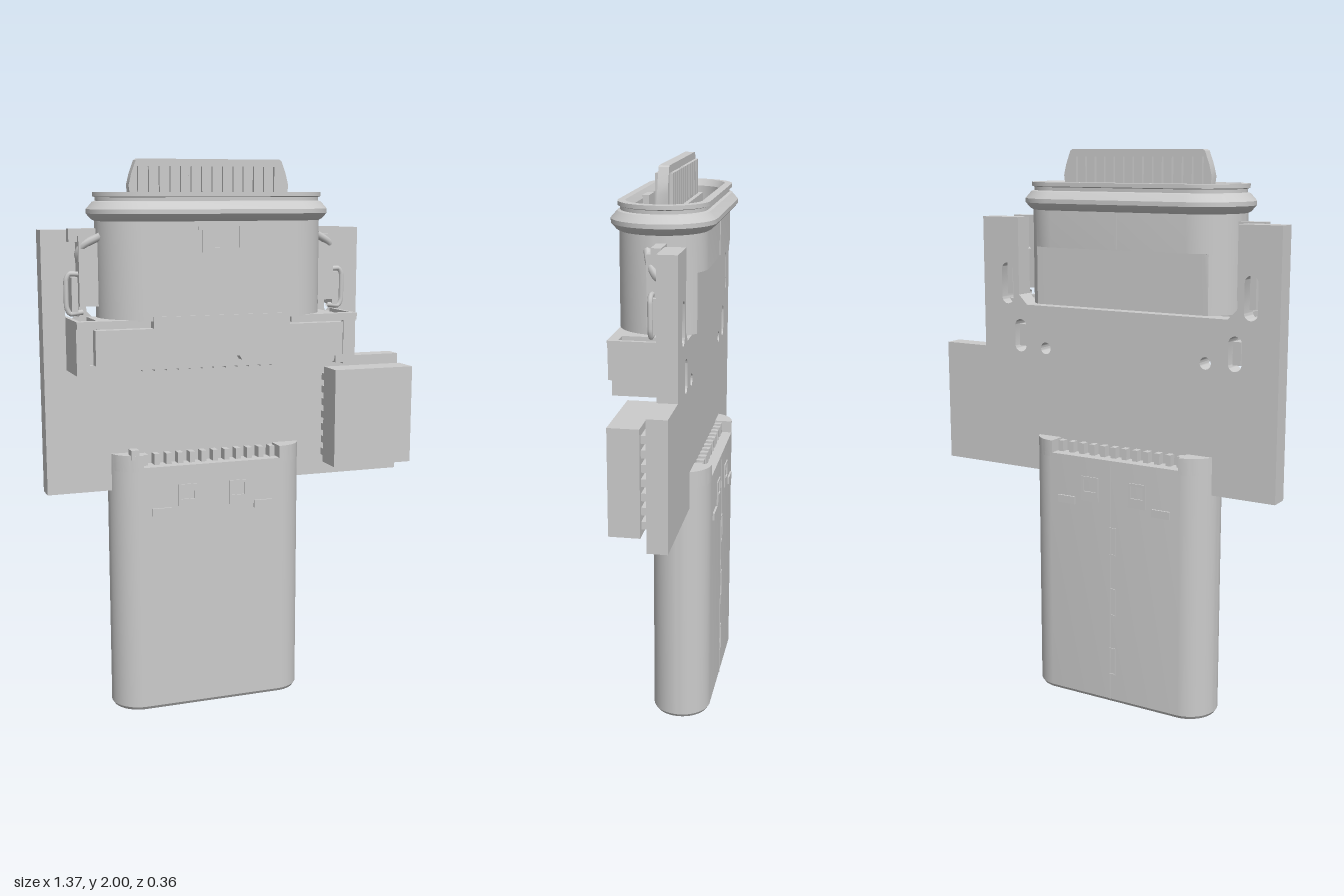
import * as THREE from 'three';
import { toCreasedNormals } from 'three/addons/utils/BufferGeometryUtils.js';

const grey = new THREE.MeshStandardMaterial({ color: 0xcccccc, side: THREE.DoubleSide });
const CX = -0.095; // centre line shared by both connectors

function add(parent, name, geo) {
  const m = new THREE.Mesh(geo, grey);
  m.name = name;
  parent.add(m);
  return m;
}

// Box given by its limits
function box(parent, name, x0, x1, y0, y1, z0, z1) {
  const g = new THREE.BoxGeometry(Math.abs(x1 - x0), y1 - y0, z1 - z0);
  g.translate((x0 + x1) / 2, (y0 + y1) / 2, (z0 + z1) / 2);
  return add(parent, name, g);
}

function polygon(points) {
  return new THREE.Shape(points.map(([x, y]) => new THREE.Vector2(x, y)));
}

function plate(parent, name, shape, z0, z1) {
  const g = new THREE.ExtrudeGeometry(shape, { depth: z1 - z0, bevelEnabled: false, curveSegments: 12 });
  g.translate(0, 0, z0);
  return add(parent, name, toCreasedNormals(g, 0.5));
}

// Lathe profile [radius, y] stretched along x into a racetrack section
function racetrack(profile, half, rule) {
  const n = 48;
  const g = new THREE.LatheGeometry(profile.map(([r, y]) => new THREE.Vector2(r, y)), n, Math.PI / n);
  const p = g.attributes.position;
  for (let i = 0; i < p.count; i++) {
    const phi = Math.PI / n + Math.floor(i / profile.length) * 2 * Math.PI / n;
    p.setX(i, p.getX(i) + Math.sign(Math.sin(phi)) * half);
    if (rule) rule(p, i);
  }
  return toCreasedNormals(g, 0.5);
}

function slotPath(x, y, w, h) {
  const r = w / 2, k = h / 2 - r, p = new THREE.Path();
  p.absarc(x, y + k, r, 0, Math.PI);
  p.absarc(x, y - k, r, Math.PI, 2 * Math.PI);
  p.closePath();
  return p;
}

function frameShape(x0, x1, y0, y1, t) {
  const s = polygon([[x0, y0], [x1, y0], [x1, y1], [x0, y1]]);
  s.holes.push(polygon([[x0 + t, y0 + t], [x0 + t, y1 - t], [x1 - t, y1 - t], [x1 - t, y0 + t]]));
  return s;
}

function makeBoard() {
  const g = new THREE.Group();
  g.name = 'circuitBoard';
  const s = polygon([[-0.69, 0.83], [0.68, 0.83], [0.68, 1.28], [0.5, 1.28], [0.5, 1.76], [0.345, 1.76],
    [0.345, 1.48], [0.31, 1.445], [-0.5, 1.445], [-0.535, 1.48], [-0.535, 1.76], [-0.69, 1.76]]);
  for (const d of [-1, 1]) {
    s.holes.push(slotPath(CX + d * 0.49, 1.52, 0.05, 0.15));
    s.holes.push(slotPath(CX + d * 0.435, 1.33, 0.05, 0.12));
    s.holes.push(slotPath(CX + d * 0.325, 1.29, 0.042, 0.043));
  }
  plate(g, 'boardPanel', s, -0.105, -0.035);

  // Side component standing on small pads
  box(g, 'componentBlock', 0.365, 0.68, 0.88, 1.245, -0.015, 0.09);
  for (let i = 0; i < 7; i++) {
    const y = 0.905 + i * 0.048;
    box(g, 'componentPad', 0.58, 0.66, y, y + 0.026, -0.036, -0.014);
    box(g, 'componentPad', 0.365, 0.43, y, y + 0.026, -0.036, -0.014);
  }
  return g;
}

function makePlug() {
  const g = new THREE.Group();
  g.name = 'plug';
  g.position.set(CX, 0, -0.065);
  const half = 0.26, R = 0.105;
  add(g, 'plugShell', racetrack([[0, 0.55], [0.07, 0.55], [0.07, 0.03], [0.078, 0.02], [0.083, 0], [0.097, 0],
    [R, 0.012], [R, 0.92], [0, 0.92]], half));
  // Raised rounded ends straddling the board
  for (const d of [-1, 1]) {
    const s = new THREE.Shape();
    s.absarc(0, 0, R, -Math.PI / 2, Math.PI / 2);
    const e = new THREE.ExtrudeGeometry(s, { depth: 0.06, bevelEnabled: false, curveSegments: 16 });
    e.rotateX(-Math.PI / 2);
    if (d < 0) e.rotateY(Math.PI);
    e.translate(d * half, 0.905, 0);
    add(g, 'plugEnd', toCreasedNormals(e, 0.5));
  }
  box(g, 'endTab', -0.305, -0.275, 0.95, 0.985, 0.06, 0.1);
  for (const side of [-1, 1]) {
    const at = (a, b) => side > 0 ? [a, b] : [-b, -a];
    // Solder pins on both faces of the board
    for (let i = 0; i < 12; i++) {
      const x = (i - 5.5) * 0.0445;
      box(g, 'solderPin', x - 0.01, x + 0.01, 0.9, 0.96, ...at(0.03, 0.068));
    }
    // Latch windows and embossed bars
    for (const d of [-1, 1]) {
      const x = d * 0.097;
      plate(g, 'latchWindow', frameShape(x - 0.035, x + 0.035, 0.76, 0.85, 0.01), ...at(0.1, 0.109));
      box(g, 'latchTongue', x - 0.028, x + 0.028, 0.77, 0.795, ...at(0.1, 0.11));
      box(g, 'embossedBar', d * 0.195 - 0.036, d * 0.195 + 0.036, 0.74, 0.768, ...at(0.1, 0.112));
    }
    // Spring contacts inside the mouth
    for (const x of [-0.17, 0, 0.17]) box(g, 'springContact', x - 0.025, x + 0.025, 0.03, 0.3, ...at(0.05, 0.075));
  }
  // Folded seam on the back with interlocking tabs
  box(g, 'seam', 0.012, 0.016, 0.01, 0.9, -0.107, -0.1);
  for (const y of [0.16, 0.39, 0.62]) {
    box(g, 'seamTab', -0.012, -0.008, y - 0.05, y + 0.05, -0.108, -0.1);
    for (const d of [-1, 1]) box(g, 'seamTab', -0.012, 0.016, y + d * 0.05 - 0.003, y + d * 0.05 + 0.003, -0.108, -0.1);
  }
  return g;
}

function makeReceptacle() {
  const g = new THREE.Group();
  g.name = 'receptacle';
  g.position.x = CX;
  // Racetrack body with sealing lip and open mouth, flattened low at the back
  add(g, 'receptacleShell', racetrack([[0, 1.455], [0.152, 1.455], [0.152, 1.66], [0.152, 1.661], [0.152, 1.79],
    [0.162, 1.795], [0.18, 1.815], [0.18, 1.83], [0.158, 1.855], [0.148, 1.858], [0.148, 1.87], [0.157, 1.873],
    [0.157, 1.887], [0.13, 1.888], [0.116, 1.865], [0.116, 1.5], [0, 1.5]], 0.258, (p, i) => {
    const y = p.getY(i);
    if (y < 1.6605) p.setZ(i, Math.max(p.getZ(i), -0.127));
  }));
  box(g, 'mouthKey', -0.045, 0.045, 1.7, 1.875, 0.095, 0.12);

  // Central tongue with contact ribs
  box(g, 'tongueBase', -0.29, 0.29, 1.49, 1.85, -0.045, 0.045);
  plate(g, 'tongue', polygon([[-0.28, 1.8], [0.28, 1.8], [0.295, 1.91], [0.285, 1.95], [0.268, 1.995],
    [0.26, 2], [-0.26, 2], [-0.268, 1.995], [-0.285, 1.95], [-0.295, 1.91]]), -0.018, 0.018);
  for (let i = 0; i < 14; i++) {
    const x = (i - 6.5) * 0.0385;
    box(g, 'tongueContact', x - 0.014, x + 0.014, 1.8, 1.975, -0.03, 0.03);
  }

  // Latch outline on the front, seams on the back
  box(g, 'latchBase', -0.075, 0.075, 1.685, 1.7, 0.148, 0.157);
  for (const d of [-1, 1]) {
    box(g, 'latchSide', d * 0.075, d * 0.06, 1.685, 1.77, 0.148, 0.157);
    box(g, 'latchShoulder', d * 0.09, d * 0.06, 1.76, 1.772, 0.148, 0.157);
  }
  box(g, 'backSeam', -0.003, 0.003, 1.665, 1.79, -0.155, -0.148);

  // Lower housing and front apron
  box(g, 'housing', -0.44, 0.44, 1.285, 1.46, -0.035, 0.12);
  plate(g, 'apron', polygon([[-0.455, 1.31], [-0.07, 1.31], [-0.06, 1.325], [0.06, 1.325], [0.07, 1.31], [0.455, 1.31],
    [0.455, 1.43], [0.25, 1.43], [0.25, 1.47], [-0.25, 1.47], [-0.25, 1.43], [-0.455, 1.43]]), 0.12, 0.157);
  for (let i = 0; i < 12; i++) {
    const x = (i - 5.5) * 0.0445;
    box(g, 'contactFoot', x - 0.01, x + 0.01, 1.265, 1.31, -0.037, 0.02);
  }

  for (const d of [-1, 1]) {
    // Wrap-around bracket
    const part = (name, a, b, ...r) => box(g, name, d * a, d * b, ...r);
    part('bracketSide', 0.5, 0.515, 1.275, 1.46, -0.06, 0.125);
    part('bracketFront', 0.47, 0.515, 1.275, 1.46, 0.11, 0.13);
    part('bracketArm', 0.26, 0.515, 1.435, 1.46, 0.11, 0.145);
    part('bracketHook', 0.44, 0.5, 1.28, 1.31, 0.1, 0.13);
    part('bracketFill', 0.43, 0.505, 1.3, 1.44, -0.035, 0.11);
    part('lowerLeg', 0.42, 0.45, 1.29, 1.37, -0.09, 0);

    // Side wing and bent retaining clip
    part('sideWing', 0.39, 0.475, 1.5, 1.74, -0.035, 0.02);
    part('wingTop', 0.4, 0.505, 1.72, 1.765, -0.035, 0.0);
    const clip = new THREE.CatmullRomCurve3([[0.4, 0.03], [0.46, 0.01], [0.47, -0.01], [0.44, -0.03]]
      .map(([x, z], i) => new THREE.Vector3(d * x, 1.74 - i * 0.035, z)));
    add(g, 'wavySpring', new THREE.TubeGeometry(clip, 16, 0.014, 8));
    // Wire loop: bracket shaped outline around a small opening
    const loop = new THREE.CatmullRomCurve3([[0.46, 1.48], [0.505, 1.475], [0.517, 1.5], [0.517, 1.59], [0.505, 1.612], [0.46, 1.61]]
      .map(([x, y]) => new THREE.Vector3(d * x, y, 0)), false, 'catmullrom', 0.2);
    add(g, 'retainingLoop', new THREE.TubeGeometry(loop, 32, 0.009, 8));
    part('upperLeg', 0.478, 0.5, 1.48, 1.6, -0.09, 0.01);
  }
  return g;
}

export function createModel() {
  const model = new THREE.Group();
  model.name = 'connectorAdapter';
  model.add(makeBoard(), makePlug(), makeReceptacle());
  return model;
}
